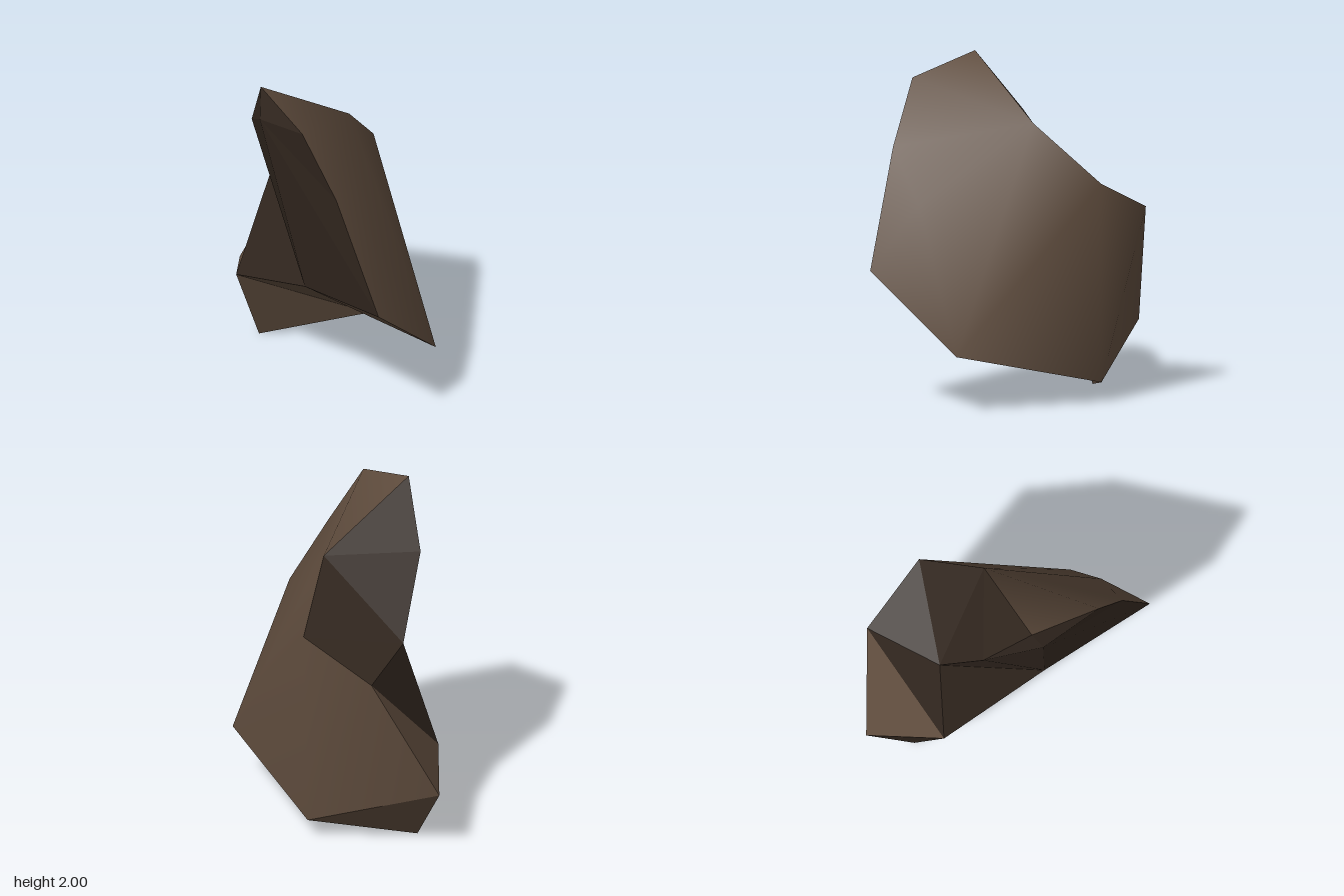
import * as THREE from 'three';

// Corner points of the shard
const P = {
  A: [-0.11, 2.0, 0.43], B: [0.32, 1.88, 0.555], C: [0.55, 1.5, 0.515], D: [0.83, 0.8, 0.46],
  E: [0.76, 0.34, -0.14], F: [-0.57, 0, -0.09], G: [-0.835, 0.37, -0.225], H: [-0.55, 0.49, 0.14],
  I: [-0.55, 1.11, -0.51], J: [-0.42, 1.17, -0.03], K: [-0.335, 1.64, 0.25], L: [-0.08, 1.31, -0.555],
  M: [0.07, 1.65, -0.16], N: [-0.07, 1.82, 0.485], O: [-0.1, 0.12, -0.54], Q: [0.12, 0.7, 0.3],
  R: [0.635, 1.19, 0.25],
};

// Builds a mesh from triangles named by their corners, smooth or faceted
function patch(name, faces, material, smooth = false) {
  const keys = Object.keys(P);
  let geo = new THREE.BufferGeometry();
  geo.setAttribute('position', new THREE.Float32BufferAttribute(keys.flatMap(k => P[k]), 3));
  geo.setIndex(faces.split(' ').flatMap(f => [...f].map(c => keys.indexOf(c))));
  if (!smooth) geo = geo.toNonIndexed();
  geo.computeVertexNormals();
  const mesh = new THREE.Mesh(geo, material);
  mesh.name = name;
  return mesh;
}

export function createModel() {
  const brown = new THREE.MeshStandardMaterial({ color: 0x5f4c3d });
  brown.name = 'brown stone';
  const dark = new THREE.MeshStandardMaterial({ color: 0x32271f });
  dark.name = 'dark stone';

  const group = new THREE.Group();
  group.name = 'rockShard';
  group.add(
    // Rounded weathered outside, wrapping the right and back
    patch('outerSurface', 'MAB MBC MCR MRE CDR RDE MEL LEO LOI IOG', brown, true),
    // Flat broken faces
    patch('upperBreak', 'MLJ LIJ MJK MKA', dark),
    patch('frontBreak', 'NAK NKQ NQD NDC NCB NBA', dark),
    patch('sideBreak', 'KJQ JHQ JIH HGF', dark),
    // Lighter chips at the foot
    patch('leftChip', 'IGH', brown),
    patch('underside', 'GOF FOH OQH OEQ EDQ', brown),
  );
  return group;
}
